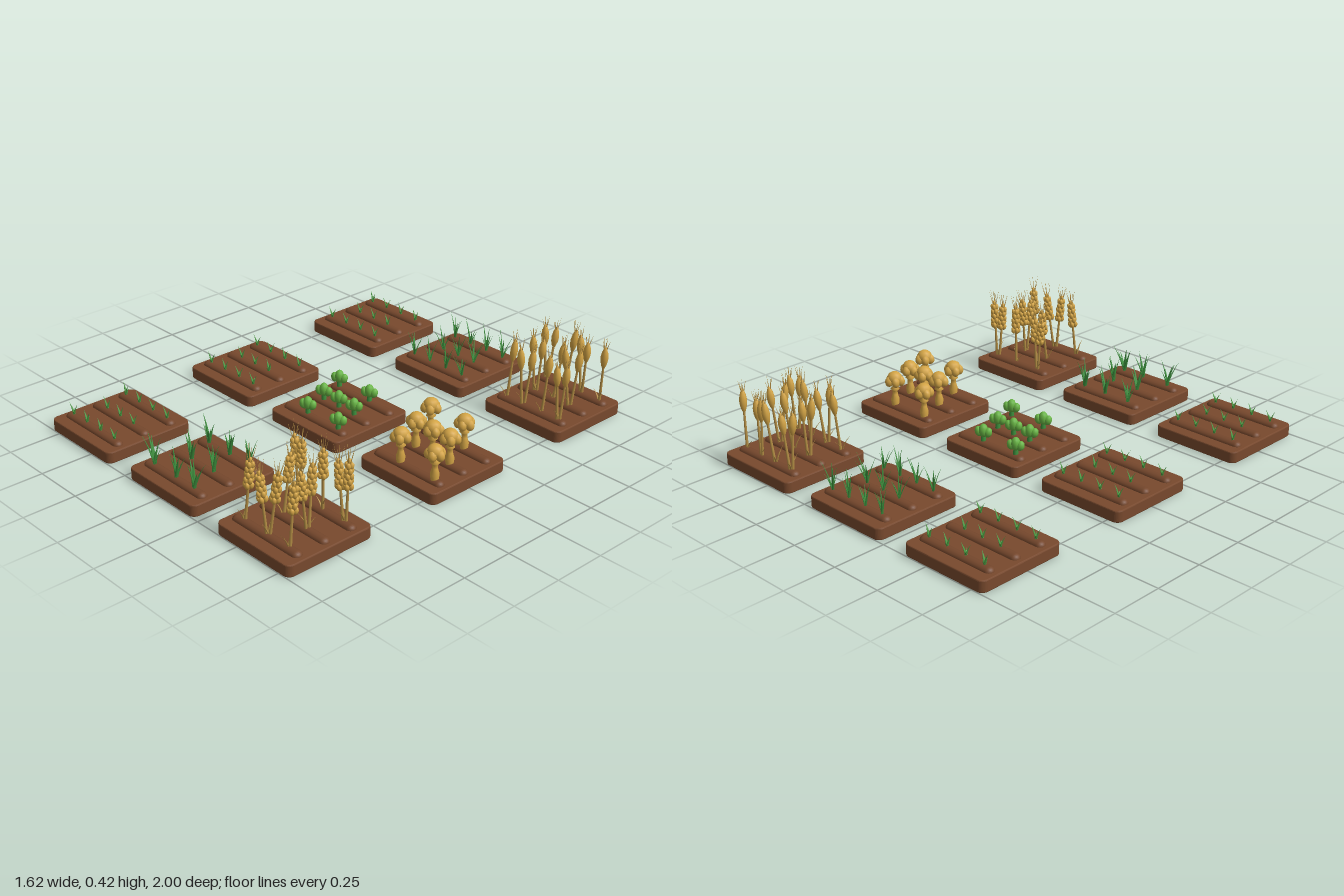
import * as THREE from 'three';
import { mergeGeometries } from 'three/addons/utils/BufferGeometryUtils.js';

const mat = (name, color) => {
  const m = new THREE.MeshStandardMaterial({ color });
  m.name = name;
  return m;
};

export function createModel() {
  const model = new THREE.Group();
  model.name = 'cropField';

  const soil = mat('soil brown', 0x78492d);
  const ridgeSoil = mat('ridge brown', 0x75472c);
  const sproutGreen = mat('sprout green', 0x4a9a40);
  const leafGreen = mat('leaf green', 0x3c8f3c);
  const brightGreen = mat('bright green', 0x68b544);
  const gold = mat('ripe gold', 0xd4a546);
  const straw = mat('straw', 0xb58f45);

  let seed = 7;
  const rand = (a, b) => {
    seed = (seed * 16807) % 2147483647;
    return a + (b - a) * (seed / 2147483647);
  };

  const add = (parent, name, geometry, material, x = 0, y = 0, z = 0) => {
    const m = new THREE.Mesh(geometry, material);
    m.name = name;
    m.position.set(x, y, z);
    parent.add(m);
    return m;
  };
  const group = (parent, name, x = 0, y = 0, z = 0) => {
    const g = new THREE.Group();
    g.name = name;
    g.position.set(x, y, z);
    parent.add(g);
    return g;
  };
  const ball = (rx, ry, rz, x, y, z, tilt = 0, turn = 0) =>
    new THREE.SphereGeometry(1, 10, 8).scale(rx, ry, rz).rotateZ(tilt)
      .translate(x, y, 0).rotateY(turn).translate(0, 0, z);
  const lathe = (points, sides) =>
    new THREE.LatheGeometry(points.map(([a, b]) => new THREE.Vector2(a, b)), sides);

  // Flattened tapering leaf that leans along its azimuth and curls outwards
  const blade = (length, width, lean, azimuth, curl = 0.3) => {
    const g = new THREE.ConeGeometry(1, 1, 6, 5, true);
    const p = g.attributes.position;
    for (let i = 0; i < p.count; i++) {
      const t = p.getY(i) + 0.5;
      const a = lean + curl * t * 0.5;
      const w = width * 0.5 * Math.min(1, 0.7 + t);
      p.setXYZ(i, Math.sin(a) * length * t + p.getX(i) * w * 0.45, Math.cos(a) * length * t, p.getZ(i) * w);
    }
    g.rotateY(-azimuth);
    g.computeVertexNormals();
    return g;
  };

  // Soil bed: slab with a bevelled rim and three rounded ridges
  const h = 0.222, r = 0.032;
  const outline = new THREE.Shape();
  outline.moveTo(-h + r, -h);
  outline.lineTo(h - r, -h).absarc(h - r, -h + r, r, -Math.PI / 2, 0);
  outline.lineTo(h, h - r).absarc(h - r, h - r, r, 0, Math.PI / 2);
  outline.lineTo(-h + r, h).absarc(-h + r, h - r, r, Math.PI / 2, Math.PI);
  outline.lineTo(-h, -h + r).absarc(-h + r, -h + r, r, Math.PI, Math.PI * 1.5);
  const slab = new THREE.ExtrudeGeometry(outline, {
    depth: 0.045, bevelEnabled: true, bevelSize: 0.005, bevelOffset: -0.005, bevelThickness: 0.005,
    bevelSegments: 2, curveSegments: 5,
  }).rotateX(-Math.PI / 2).translate(0, 0.005, 0);
  const ridge = new THREE.CapsuleGeometry(0.025, 0.35, 6, 14).rotateZ(Math.PI / 2).scale(1, 0.85, 1);
  const ROW = 0.141;
  const bed = (name, x, z) => {
    const g = group(model, name, x, 0, z);
    add(g, 'soilBed', slab, soil);
    for (const s of [-1, 0, 1]) add(g, 'soilRidge', ridge, ridgeSoil, 0, 0.053, s * ROW);
    return g;
  };

  // Planting layouts as [x, z]
  const rows = (back, middle, front) => [
    ...back.map(x => [x, -ROW]), ...middle.map(x => [x, 0]), ...front.map(x => [x, ROW])];
  const four = [-0.155, -0.052, 0.052, 0.155], three = [-0.1, 0, 0.1];
  const sproutLayout = rows(four, three, four);
  const oatLayout = rows(four, three, four);
  const wheatLayout = rows([-0.13, 0.01, 0.14], [-0.07, 0.08], [-0.14, 0.01, 0.13]);
  const flowerLayout = rows([-0.15, 0.05], three, [-0.05, 0.15]);

  // Small V-shaped seedlings
  const seedling = mergeGeometries([
    blade(0.06, 0.017, 0.24, 0, 0.35), blade(0.06, 0.017, 0.24, Math.PI, 0.35),
    blade(0.03, 0.014, 0.5, 1.1), blade(0.03, 0.014, 0.5, -2)]);
  const seedlings = parent => sproutLayout.forEach(([x, z]) => {
    add(parent, 'seedling', seedling, sproutGreen, x, 0.072, z).rotation.y = rand(-0.3, 0.3);
  });

  // Tufts of young grass, fanned mostly along the row
  const grass = (parent, layout, width) => layout.forEach(([x, z]) => {
    const blades = [];
    for (let i = 0; i < 6; i++) {
      blades.push(blade(rand(0.08, 0.15), width, rand(0.05, 0.3), i * Math.PI + rand(-0.8, 0.8), 0.3));
    }
    add(parent, 'grassTuft', mergeGeometries(blades), leafGreen, x, 0.066, z);
  });

  // Young leafy heads: three joined domes set in a diagonal line
  const head = mergeGeometries([
    ball(0.019, 0.024, 0.018, -0.022, 0.115, 0, 0.3, 0.4),
    ball(0.022, 0.032, 0.022, 0, 0.122, 0),
    ball(0.019, 0.024, 0.018, 0.022, 0.115, 0, -0.3, 0.4)]);
  const headStem = new THREE.CylinderGeometry(0.009, 0.013, 0.05, 8);
  const youngHeads = parent => flowerLayout.forEach(([x, z]) => {
    add(parent, 'leafyHead', head, brightGreen, x, 0, z);
    add(parent, 'headStem', headStem, leafGreen, x, 0.087, z);
  });

  // Ripe flower heads: domed five-lobed cap on a swollen stalk
  const lobes = [ball(0.036, 0.033, 0.036, 0, 0.202, 0)];
  for (let i = 0; i < 5; i++) lobes.push(ball(0.022, 0.026, 0.02, 0.026, 0.19, 0, 0.3, i * Math.PI * 0.4 + 0.3));
  const cap = mergeGeometries(lobes);
  const capStem = lathe([
    [0.016, 0.06], [0.021, 0.095], [0.013, 0.122], [0.012, 0.14], [0.022, 0.149], [0.012, 0.158], [0.01, 0.185],
  ], 12);
  const ripeHeads = parent => flowerLayout.forEach(([x, z], i) => {
    add(parent, 'lobedCap', cap, gold, x, 0, z).rotation.y = i;
    add(parent, 'capStem', capStem, gold, x, 0, z);
  });

  // Bristles fanning out above an ear
  const bristles = (y, count, length) => {
    const list = [];
    for (let i = 0; i < count; i++) {
      list.push(new THREE.ConeGeometry(0.0022, length, 4).translate(0, length / 2, 0)
        .rotateZ(i ? -0.24 : 0).translate(i ? 0.005 : 0, y, 0).rotateY(i * 2.4));
    }
    return mergeGeometries(list);
  };

  // Wheat ear: stacked plump grains in alternating whorls
  const grains = [];
  for (let k = 0; k < 5; k++) {
    for (let i = 0; i < 4; i++) {
      grains.push(ball(0.0105, 0.0165, 0.0105, 0.0135 - k * 0.001, 0.172 + k * 0.0235, 0, -0.25,
        i * Math.PI / 2 + (k % 2) * Math.PI / 4));
    }
  }
  grains.push(ball(0.009, 0.016, 0.009, 0, 0.284, 0));
  const wheat = { ear: mergeGeometries(grains), awns: bristles(0.27, 6, 0.09), height: 0.18, lean: 0.15 };

  // Oat ear: one smooth pointed pod
  const pod = lathe([
    [0, 0.175], [0.009, 0.19], [0.016, 0.215], [0.018, 0.24], [0.014, 0.265], [0.006, 0.287], [0, 0.295],
  ], 10);
  const oat = { ear: pod, awns: bristles(0.275, 5, 0.065), height: 0.19, lean: 0.13 };

  const stalks = (parent, name, kind, layout) => layout.forEach(([x, z], i) => {
    const plant = group(parent, name, x, 0.06, z);
    const count = i % 2 ? 1 : 2;
    const start = rand(-0.6, 0.6) + (z === -ROW ? 0 : 0.9);
    for (let k = 0; k < count; k++) {
      const turn = group(plant, 'stalk');
      turn.rotation.y = start + k * Math.PI;
      const lean = group(turn, 'leaningStalk', 0.006);
      lean.rotation.z = -rand(0.06, kind.lean) * (Math.abs(x) > 0.12 ? 0.8 : 1);
      lean.scale.y = rand(0.93, 1.02);
      add(lean, 'stem', new THREE.CylinderGeometry(0.005, 0.007, kind.height, 7), straw, 0, kind.height / 2, 0);
      add(lean, 'ear', kind.ear, gold);
      add(lean, 'awns', kind.awns, straw);
    }
    add(plant, 'dryLeaves', mergeGeometries([
      blade(0.09, 0.015, 0.15, start + 1, 0.7), blade(0.07, 0.015, 0.2, start + 3.6, 0.8)]), straw);
  });

  // Three crops from front to back, three growth stages from left to right
  const X = 0.588, Z = 0.778;
  for (const z of [-Z, 0, Z]) seedlings(bed('seedlingBed', -X, z));
  grass(bed('youngOatBed', 0, -Z), oatLayout, 0.014);
  youngHeads(bed('youngHeadBed', 0, 0));
  grass(bed('youngWheatBed', 0, Z), wheatLayout, 0.022);
  stalks(bed('ripeOatBed', X, -Z), 'oatPlant', oat, oatLayout);
  ripeHeads(bed('ripeHeadBed', X, 0));
  stalks(bed('ripeWheatBed', X, Z), 'wheatPlant', wheat, wheatLayout);

  return model;
}
